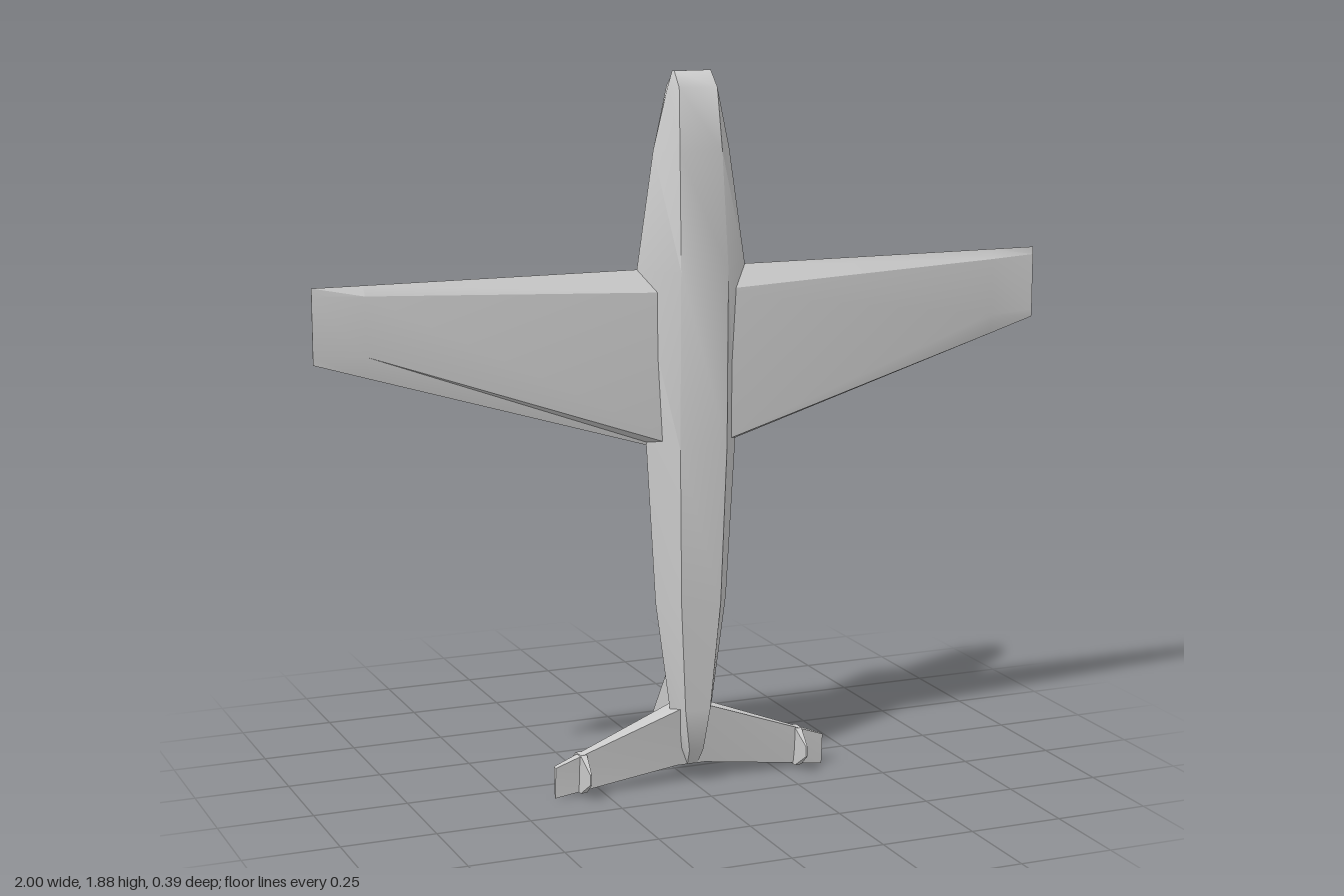
import * as THREE from 'three';
import { toCreasedNormals } from 'three/addons/utils/BufferGeometryUtils.js';

const material = new THREE.MeshStandardMaterial({ color: 0xcccccc });
const AXIS = 0.11; // depth of the fuselage centre line

// Skin a list of equal-length rings of [x, y, z], closing both ends.
function loft(name, rings, crease = 0.9) {
  const n = rings[0].length;
  const tris = [];
  const add = (a, b, c) => tris.push([a, b, c].map((p) => new THREE.Vector3(...p)));
  for (let r = 0; r < rings.length - 1; r++) {
    for (let i = 0; i < n; i++) {
      const j = (i + 1) % n;
      add(rings[r][i], rings[r][j], rings[r + 1][j]);
      add(rings[r][i], rings[r + 1][j], rings[r + 1][i]);
    }
  }
  const last = rings[rings.length - 1];
  for (let i = 1; i < n - 1; i++) {
    add(rings[0][0], rings[0][i + 1], rings[0][i]);
    add(last[0], last[i], last[i + 1]);
  }
  // Drop collapsed triangles and turn the shell outward by its signed volume.
  const solid = tris.filter(([a, b, c]) => b.clone().sub(a).cross(c.clone().sub(a)).length() > 1e-8);
  const volume = solid.reduce((s, [a, b, c]) => s + a.dot(b.clone().cross(c)), 0);
  const points = solid.flatMap(([a, b, c]) => (volume < 0 ? [a, c, b] : [a, b, c]));
  const geometry = toCreasedNormals(new THREE.BufferGeometry().setFromPoints(points), crease);
  const mesh = new THREE.Mesh(geometry, material);
  mesh.name = name;
  return mesh;
}

// Fuselage: hexagonal sections [y, flat half width, mid half width, back z, belly z]
function fuselage() {
  const rows = [
    [1.88, 0.05, 0.053, 0.113, 0.117],
    [1.84, 0.052, 0.065, 0.07, 0.155],
    [1.68, 0.058, 0.105, 0.05, 0.175],
    [1.38, 0.065, 0.15, 0.025, 0.2],
    [0.92, 0.065, 0.125, 0.03, 0.195],
    [0.5, 0.055, 0.1, 0.04, 0.18],
    [0.21, 0.035, 0.06, 0.06, 0.16],
    [0.1, 0.02, 0.035, 0.075, 0.15],
    [0.05, 0.01, 0.02, 0.108, 0.112],
  ];
  return loft('fuselage', rows.map(([y, f, m, back, belly]) => [
    [f, y, belly], [m, y, AXIS], [f, y, back], [-f, y, back], [-m, y, AXIS], [-f, y, belly],
  ]));
}

// Canopy and spine: trapezoid sections [y, top half width, base half width, top z]
function canopy() {
  const rows = [
    [1.37, 0.055, 0.065, 0.025],
    [1.3, 0.045, 0.085, -0.055],
    [0.95, 0.045, 0.085, -0.055],
    [0.6, 0.038, 0.07, -0.03],
    [0.34, 0.025, 0.045, 0.015],
    [0.1, 0.012, 0.022, 0.068],
  ];
  return loft('canopy', rows.map(([y, t, b, top]) => [
    [b, y, 0.08], [t, y, top], [-t, y, top], [-b, y, 0.08],
  ]), 0.6);
}

// Main wing: bevelled sections [x, leading y, front bevel y, rear bevel y, trailing y, half thickness]
function wing() {
  const half = [
    [0, 1.38, 1.32, 0.905, 0.885, 0.045],
    [0.87, 1.38, 1.355, 1.205, 1.15, 0.015],
    [1, 1.38, 1.36, 1.21, 1.19, 0.001],
  ];
  const rows = [...half.slice(1).reverse().map(([x, ...r]) => [-x, ...r]), ...half];
  return loft('wing', rows.map(([x, lead, front, rear, trail, t]) => [
    [x, lead, AXIS], [x, front, AXIS + t], [x, rear, AXIS + t],
    [x, trail, AXIS], [x, rear, AXIS - t], [x, front, AXIS - t],
  ]), 0.5);
}

// Tailplane: blunt leading edge and sharp trailing edge [x, leading y, trailing y, half thickness]
function tailplane() {
  const rows = [
    [-0.383, 0.087, 0.003, 0.008], [-0.04, 0.215, 0.05, 0.034],
    [0.04, 0.215, 0.05, 0.034], [0.383, 0.087, 0.003, 0.008],
  ];
  return loft('tailplane', rows.map(([x, lead, trail, t]) => [
    [x, lead, AXIS - t], [x, lead, AXIS + t], [x, trail, AXIS + 0.002], [x, trail, AXIS - 0.002],
  ]), 0.4);
}

// Vertical fin: tapers in thickness from root to tip
function tailFin() {
  const section = (z, top, bottom, t) => [
    [t * 0.4, top, z], [t, bottom, z], [-t, bottom, z], [-t * 0.4, top, z],
  ];
  return loft('tailFin', [
    section(0.11, 0.46, 0.05, 0.026),
    section(0.015, 0.34, 0.05, 0.018),
    section(-0.195, 0.055, 0.05, 0.007),
  ], 0.4);
}

// Small fin across the tailplane near each tip: [z, top y, bottom y, half thickness]
function tipFin(x) {
  const rows = [
    [-0.015, 0.04, 0.01, 0.002], [0.09, 0.115, 0.01, 0.009],
    [0.125, 0.115, 0.012, 0.009], [0.178, 0.078, 0.05, 0.002],
  ];
  return loft(x > 0 ? 'leftTipFin' : 'rightTipFin', rows.map(([z, top, bottom, t]) => [
    [x + t, top, z], [x + t, bottom, z], [x - t, bottom, z], [x - t, top, z],
  ]), 0.4);
}

export function createModel() {
  const model = new THREE.Group();
  model.name = 'airplane';
  model.add(fuselage(), canopy(), wing(), tailplane(), tailFin());
  for (const side of [-1, 1]) model.add(tipFin(side * 0.308));
  return model;
}
